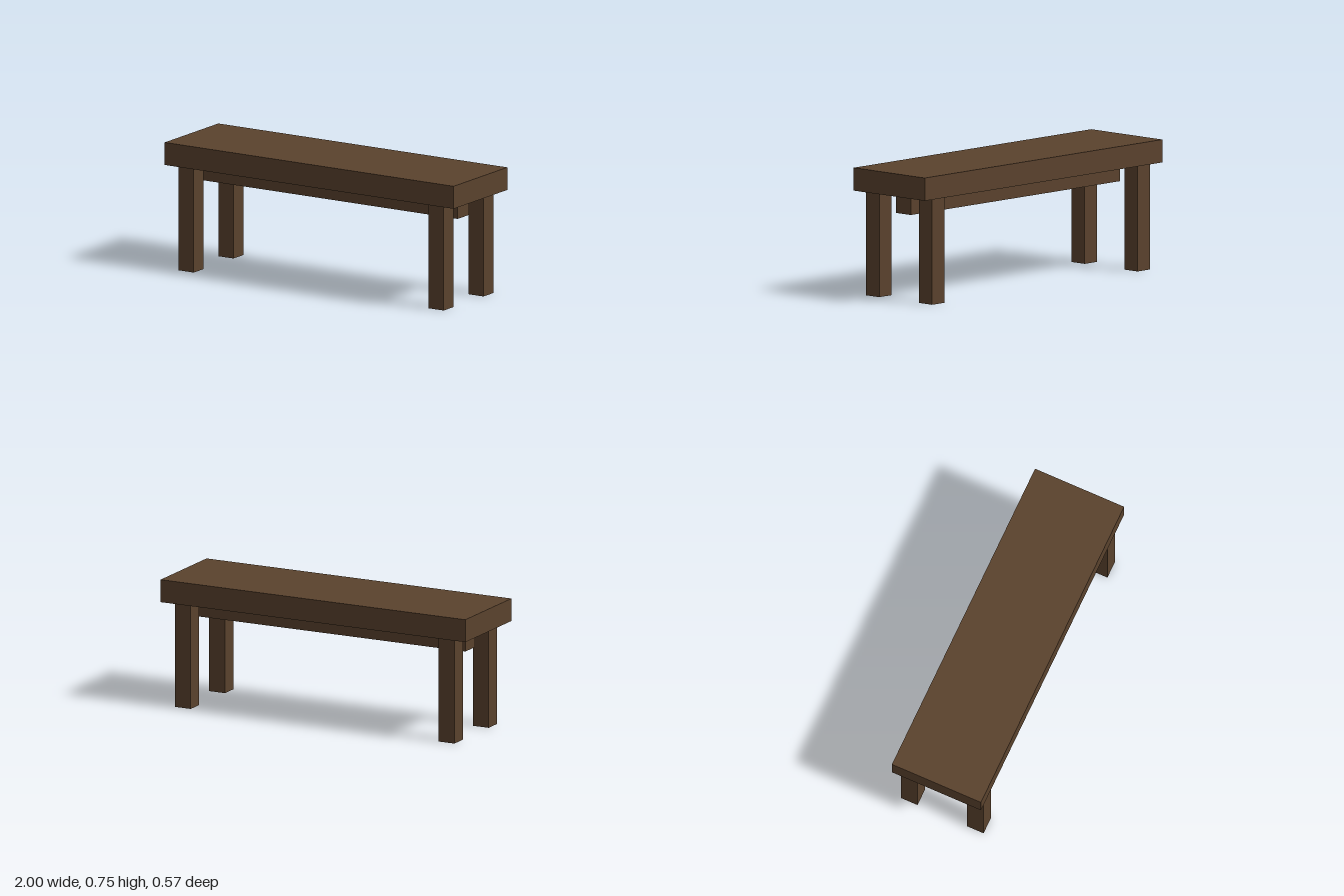
import * as THREE from 'three';

export function createModel() {
  const model = new THREE.Group();
  model.name = 'bench';
  const darkWood = new THREE.MeshStandardMaterial({ name: 'dark wood', color: 0x5a422d });

  // Box placed by its centre in x and z and its bottom in y
  const addBox = (name, [w, h, d], [x, y, z]) => {
    const mesh = new THREE.Mesh(new THREE.BoxGeometry(w, h, d), darkWood);
    mesh.name = name;
    mesh.position.set(x, y + h / 2, z);
    model.add(mesh);
  };

  // Thick seat plank
  addBox('seat', [2, 0.134, 0.566], [0, 0.62, 0]);

  // Long rail under the seat, with a narrow gap above it
  addBox('rail', [1.762, 0.104, 0.119], [0, 0.5, 0]);

  // Four square legs
  for (const [sideName, sx] of [['Left', 1], ['Right', -1]]) {
    for (const [endName, sz] of [['front', 1], ['back', -1]]) {
      addBox(`${endName}${sideName}Leg`, [0.104, 0.62, 0.104], [sx * 0.865, 0, sz * 0.21]);
    }
  }

  return model;
}
